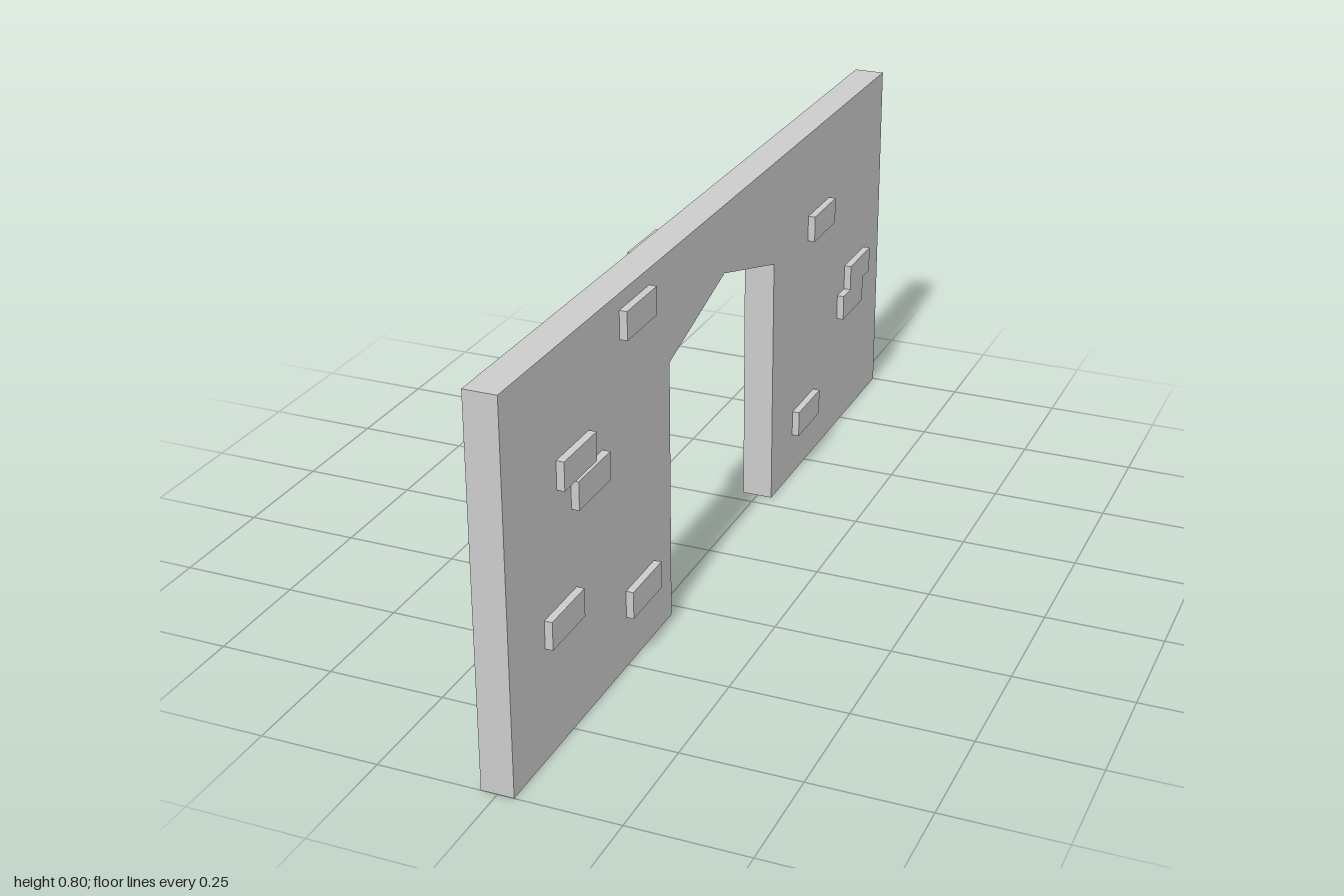
import * as THREE from 'three';

const HALF_T = 0.034, OUT = 0.05, H = 0.803;
const BRICK_L = 0.136, BRICK_H = 0.059;

// Brick centres as [z, y] on each face of the wall
const LEFT_BRICKS = [
  [0.447, 0.74], [0.724, 0.557], [0.667, 0.491], [0.79, 0.264], [0.438, 0.141],
  [-0.566, 0.579], [-0.824, 0.366], [-0.777, 0.307], [-0.484, 0.13],
];
const RIGHT_BRICKS = [
  [-0.77, 0.613], [-0.49, 0.293], [-0.65, 0.16], [0.225, 0.763],
  [0.497, 0.288], [0.544, 0.228], [0.803, 0.613],
];

// Drops the triangles lying on the ground, leaving the wall open underneath
function openBottom(geometry) {
  const pos = geometry.getAttribute('position');
  const kept = [];
  for (let i = 0; i < pos.count; i += 3) {
    if ([0, 1, 2].every((k) => Math.abs(pos.getY(i + k)) < 1e-5)) continue;
    for (let k = 0; k < 3; k++) kept.push(pos.getX(i + k), pos.getY(i + k), pos.getZ(i + k));
  }
  const open = new THREE.BufferGeometry();
  open.setAttribute('position', new THREE.Float32BufferAttribute(kept, 3));
  open.computeVertexNormals();
  return open;
}

export function createModel() {
  const model = new THREE.Group();
  model.name = 'wallWithGateway';
  const material = new THREE.MeshStandardMaterial({
    color: 0xcccccc, flatShading: true, side: THREE.DoubleSide,
  });

  // Hollow wall with a pointed gateway
  const outline = new THREE.Shape([
    [-1, 0], [-0.285, 0], [-0.285, 0.57], [0, 0.654], [0.285, 0.57],
    [0.285, 0], [1, 0], [1, H], [-1, H],
  ].map(([x, y]) => new THREE.Vector2(x, y)));
  const solid = new THREE.ExtrudeGeometry(outline, { depth: 2 * HALF_T, bevelEnabled: false });
  solid.translate(0, 0, -HALF_T).rotateY(Math.PI / 2);
  const wall = new THREE.Mesh(openBottom(solid.index ? solid.toNonIndexed() : solid), material);
  wall.name = 'wall';
  model.add(wall);

  // Raised bricks on both faces
  const brickGeometry = new THREE.BoxGeometry(OUT - HALF_T, BRICK_H, BRICK_L);
  const addBricks = (name, side, centres) => {
    const group = new THREE.Group();
    group.name = name;
    centres.forEach(([z, y], i) => {
      const brick = new THREE.Mesh(brickGeometry, material);
      brick.name = `brick${i + 1}`;
      brick.position.set(side * (OUT + HALF_T) / 2, y, z);
      group.add(brick);
    });
    model.add(group);
  };
  addBricks('leftBricks', 1, LEFT_BRICKS);
  addBricks('rightBricks', -1, RIGHT_BRICKS);
  return model;
}
